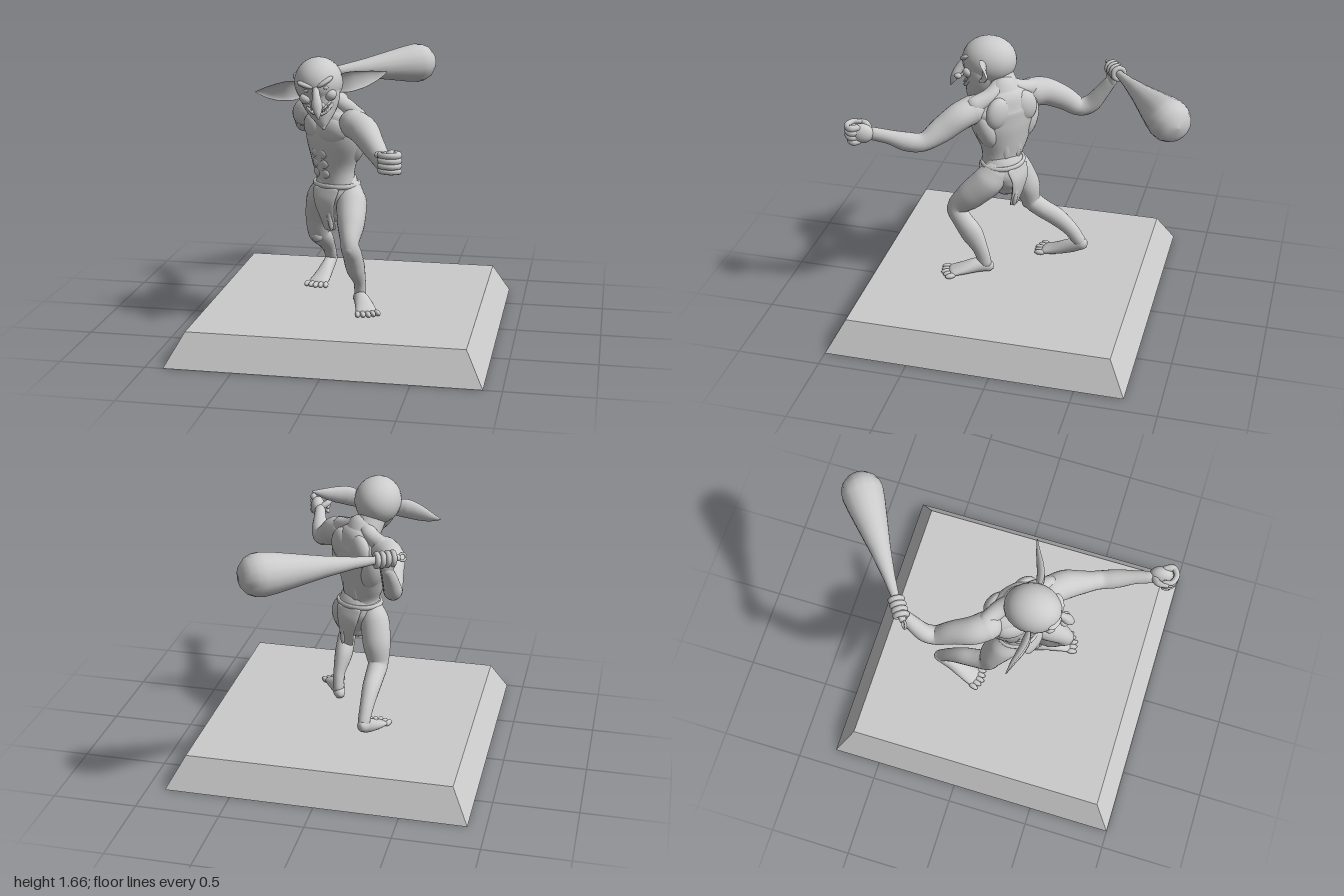
import * as THREE from 'three';

const material = new THREE.MeshStandardMaterial({ color: 0xcccccc, side: THREE.DoubleSide });
const vec = (a) => new THREE.Vector3(a[0], a[1], a[2]);

function add(parent, name, geometry) {
  const mesh = new THREE.Mesh(geometry, material);
  mesh.name = name;
  parent.add(mesh);
  return mesh;
}

// Smooth round-ended body through rings [x, y, z, halfWidth, halfDepth]; width runs along ref.
// cup folds the front half of each section inward, making a hollow shell.
function loft(rings, ref = [1, 0, 0], { sides = 20, steps = 5, cup = 0 } = {}) {
  const path = new THREE.CatmullRomCurve3(rings.map(vec));
  const size = new THREE.CatmullRomCurve3(rings.map((r) => new THREE.Vector3(r[3], r[4], 0)));
  const count = (rings.length - 1) * steps;
  const sections = [];
  for (let i = 0; i <= count; i++) {
    const t = i / count;
    const c = path.getPoint(t), r = size.getPoint(t), dir = path.getTangent(t);
    const s = vec(ref).addScaledVector(dir, -vec(ref).dot(dir)).normalize();
    const section = { c, dir, s, u: dir.clone().cross(s), a: r.x, b: r.y };
    const ends = i === 0 ? [-90, -60, -30, 0] : i === count ? [0, 30, 60, 90] : [0];
    for (const deg of ends) {
      const angle = THREE.MathUtils.degToRad(deg), k = Math.cos(angle);
      sections.push({
        ...section, a: r.x * k, b: r.y * k,
        c: c.clone().addScaledVector(dir, Math.sin(angle) * Math.min(r.x, r.y)),
      });
    }
  }
  const pos = [], index = [];
  sections.forEach(({ c, s, u, a, b }, i) => {
    for (let j = 0; j < sides; j++) {
      const angle = (j / sides) * Math.PI * 2;
      let h = Math.sin(angle);
      if (cup && h > 0) h *= -cup;
      pos.push(...c.clone().addScaledVector(s, a * Math.cos(angle)).addScaledVector(u, b * h).toArray());
      if (i === 0) continue;
      const k = (j + 1) % sides, p = (i - 1) * sides, q = i * sides;
      index.push(p + j, p + k, q + j, p + k, q + k, q + j);
    }
  });
  const g = new THREE.BufferGeometry();
  g.setAttribute('position', new THREE.Float32BufferAttribute(pos, 3));
  g.setIndex(index);
  g.computeVertexNormals();
  return g;
}

function ball(parent, name, p, r, rot = [0, 0, 0]) {
  const mesh = add(parent, name, new THREE.SphereGeometry(1, 24, 16));
  mesh.position.set(...p);
  mesh.scale.set(...r);
  mesh.rotation.set(...rot);
  return mesh;
}

function group(parent, name) {
  const g = new THREE.Group();
  g.name = name;
  parent.add(g);
  return g;
}

function buildBase(parent) {
  const g = new THREE.BoxGeometry(1.79, 0.187, 1.79);
  const p = g.attributes.position;
  for (let i = 0; i < p.count; i++) {
    if (p.getY(i) > 0) p.setXYZ(i, p.getX(i) * 0.885, p.getY(i), p.getZ(i) * 0.885);
  }
  g.computeVertexNormals();
  add(parent, 'base', g).position.set(0, 0.0935, 0.105);
}

// Torso, turned so that its left shoulder leads
function buildTorso(parent) {
  const torso = group(parent, 'torso');
  torso.position.set(-0.08, 0, 0.16);
  torso.rotation.y = -0.72;
  add(torso, 'trunk', loft([
    [0.01, 0.86, 0, 0.13, 0.1], [0.01, 0.94, 0, 0.128, 0.1], [0, 1.05, 0, 0.165, 0.115],
    [0, 1.18, 0, 0.215, 0.13], [0, 1.28, -0.01, 0.225, 0.125], [0, 1.34, -0.02, 0.16, 0.1],
    [0, 1.385, -0.015, 0.09, 0.07],
  ], [-1, 0, 0], { sides: 32 }));
  for (const s of [-1, 1]) {
    ball(torso, 'chestMuscle', [s * 0.09, 1.235, 0.075], [0.105, 0.08, 0.055], [0, s * 0.25, s * 0.2]);
    ball(torso, 'sideMuscle', [s * 0.145, 1.16, -0.035], [0.065, 0.13, 0.07], [0, 0, -s * 0.3]);
    ball(torso, 'shoulderBlade', [s * 0.095, 1.27, -0.085], [0.08, 0.1, 0.05], [0, 0, s * 0.3]);
    ball(torso, 'backMuscle', [s * 0.04, 1.05, -0.075], [0.035, 0.13, 0.035]);
    add(torso, 'neckMuscle', loft([[s * 0.02, 1.4, 0, 0.05, 0.05], [s * 0.1, 1.365, -0.02, 0.05, 0.045],
      [s * 0.21, 1.32, -0.01, 0.05, 0.06]], [0, 0, 1]));
    for (let i = 0; i < 3; i++) {
      ball(torso, 'bellyMuscle', [s * 0.036, 0.98 + i * 0.06, 0.085 + i * 0.009], [0.036, 0.034, 0.025]);
    }
  }
  add(parent, 'neck', loft([[-0.1, 1.34, 0.14, 0.085, 0.085], [-0.13, 1.42, 0.19, 0.08, 0.085],
    [-0.145, 1.48, 0.23, 0.08, 0.09]]));
}

function buildHead(parent) {
  const head = group(parent, 'head');
  head.position.set(-0.15, 1.52, 0.26);
  head.rotation.set(0, 0.065, 0.17);
  ball(head, 'skull', [0, 0, 0], [0.14, 0.142, 0.163]);
  add(head, 'jaw', loft([[0, -0.01, 0.03, 0.12, 0.125], [0, -0.08, 0.04, 0.117, 0.108], [0, -0.14, 0.06, 0.095, 0.085],
    [0, -0.19, 0.085, 0.062, 0.058], [0, -0.235, 0.105, 0.026, 0.028], [0, -0.25, 0.112, 0.012, 0.012]], [-1, 0, 0]));
  add(head, 'nose', loft([[0, -0.015, 0.145, 0.018, 0.02], [0, -0.06, 0.175, 0.024, 0.026], [0, -0.105, 0.2, 0.031, 0.026],
    [0, -0.145, 0.22, 0.02, 0.017], [0, -0.172, 0.23, 0.006, 0.006]]));
  // Curved grin
  const grin = [-0.07, -0.04, 0, 0.04, 0.07].map((x) => [x, -0.155 + 9 * x * x, 0.142 - 7 * x * x]);
  add(head, 'lowerLip', loft(grin.map(([x, y, z]) => [x, y - 0.012, z, 0.009, 0.01]), [0, 1, 0], { sides: 10 }));
  add(head, 'upperLip', loft(grin.map(([x, y, z]) => [x, y + 0.014, z, 0.008, 0.009]), [0, 1, 0], { sides: 10 }));
  for (let i = -3; i <= 3; i++) {
    const x = i * 0.016;
    const tooth = add(head, 'tooth', new THREE.ConeGeometry(0.007, 0.024, 8));
    tooth.position.set(x, -0.152 + 9 * x * x, 0.147 - 7 * x * x);
    tooth.rotation.x = i % 2 ? Math.PI : 0;
  }
  for (const s of [-1, 1]) {
    ball(head, 'brow', [s * 0.056, 0.012, 0.135], [0.055, 0.016, 0.028], [0, s * 0.4, s * 0.38]);
    ball(head, 'eye', [s * 0.052, -0.02, 0.134], [0.02, 0.013, 0.018]);
    ball(head, 'cheek', [s * 0.073, -0.07, 0.112], [0.036, 0.03, 0.033], [0, 0, s * 0.5]);
    ball(head, 'nostril', [s * 0.026, -0.11, 0.183], [0.018, 0.017, 0.023]);
    add(head, 'ear', loft([[s * 0.115, -0.03, 0.015, 0.05, 0.025], [s * 0.18, -0.025, 0.025, 0.058, 0.045],
      [s * 0.25, -0.025, 0.005, 0.05, 0.04], [s * 0.32, -0.022, -0.03, 0.032, 0.025],
      [s * 0.385, -0.015, -0.06, 0.005, 0.006]], [0, s, 0], { cup: 0.5, sides: 24 }));
  }
}

function buildArms(parent) {
  const left = group(parent, 'leftArm'), right = group(parent, 'rightArm');
  add(left, 'arm', loft([[0.06, 1.29, 0.3, 0.085, 0.085], [0.13, 1.265, 0.37, 0.085, 0.083], [0.2, 1.2, 0.46, 0.068, 0.075],
    [0.265, 1.145, 0.55, 0.055, 0.056], [0.295, 1.15, 0.63, 0.055, 0.058], [0.325, 1.185, 0.74, 0.04, 0.042],
    [0.345, 1.205, 0.83, 0.034, 0.04]]));
  add(right, 'arm', loft([[-0.24, 1.29, 0.03, 0.085, 0.09], [-0.29, 1.28, -0.04, 0.082, 0.085],
    [-0.32, 1.235, -0.15, 0.068, 0.073], [-0.345, 1.175, -0.25, 0.057, 0.056], [-0.357, 1.195, -0.31, 0.053, 0.055],
    [-0.355, 1.28, -0.375, 0.045, 0.045], [-0.345, 1.37, -0.435, 0.032, 0.035]]));
  // Clenched empty hand, fingers curling across the palm
  ball(left, 'palm', [0.375, 1.215, 0.885], [0.045, 0.06, 0.07], [0, 0.2, 0]);
  for (let i = 0; i < 4; i++) {
    const y = 1.172 + i * 0.029, f = i === 0 ? -0.012 : 0;
    add(left, 'finger', loft([[0.4, y, 0.9, 0.018, 0.018], [0.415, y, 0.945 + f, 0.018, 0.018], [0.375, y, 0.972 + f, 0.017, 0.017],
      [0.325, y, 0.955 + f, 0.016, 0.016], [0.315, y, 0.915, 0.013, 0.013]], [0, 1, 0], { sides: 10 }));
  }
  add(left, 'thumb', loft([[0.345, 1.22, 0.85, 0.022, 0.022], [0.305, 1.245, 0.88, 0.019, 0.019],
    [0.3, 1.255, 0.93, 0.014, 0.014]], [0, 1, 0], { sides: 10 }));
  // Gripping hand
  add(right, 'palm', loft([[-0.345, 1.37, -0.435, 0.035, 0.03], [-0.35, 1.41, -0.44, 0.05, 0.028],
    [-0.345, 1.455, -0.445, 0.052, 0.024]], [0.82, 0, -0.57]));
}

// Club with its grip, end ring and wrapped fingers, built along its own y axis
function buildClub(parent) {
  const club = group(parent, 'club');
  club.position.set(-0.38, 1.44, -0.43);
  club.quaternion.setFromUnitVectors(new THREE.Vector3(0, 1, 0), new THREE.Vector3(0.82, 0.03, -0.57).normalize());
  const profile = [[0, -0.035], [0.018, -0.035], [0.021, 0], [0.024, 0.13], [0.035, 0.24], [0.06, 0.41], [0.088, 0.56],
    [0.114, 0.7], [0.123, 0.77], [0.118, 0.81], [0.1, 0.85], [0.06, 0.885], [0, 0.895]];
  add(club, 'clubBody', new THREE.LatheGeometry(profile.map(([x, y]) => new THREE.Vector2(x, y)), 16));
  const ring = add(club, 'endRing', new THREE.TorusGeometry(0.021, 0.007, 8, 20));
  ring.position.y = -0.055;
  ring.rotation.y = 1.0;
  for (let i = 0; i < 4; i++) {
    const finger = add(club, 'finger', new THREE.TorusGeometry(0.034, 0.0155, 10, 20));
    finger.position.y = 0.005 + i * 0.032;
    finger.rotation.x = Math.PI / 2 + 0.12;
  }
}

function buildFoot(parent, rings, dir) {
  const forward = vec(dir).normalize();
  const side = new THREE.Vector3(0, 1, 0).cross(forward);
  add(parent, 'foot', loft(rings, side.toArray()));
  const tip = vec(rings[rings.length - 1]);
  for (let i = -2; i <= 2; i++) {
    const p = tip.clone().addScaledVector(side, i * 0.029).addScaledVector(forward, 0.035 - Math.abs(i) * 0.008);
    ball(parent, 'toe', [p.x, 0.204, p.z], [0.016, 0.017, 0.034], [0, Math.atan2(forward.x, forward.z) + i * 0.1, 0]);
  }
}

function buildLegs(parent) {
  const left = group(parent, 'leftLeg'), right = group(parent, 'rightLeg');
  add(left, 'leg', loft([[0.02, 0.87, 0.18, 0.07, 0.08], [0.035, 0.8, 0.23, 0.09, 0.095], [0.05, 0.7, 0.33, 0.08, 0.088],
    [0.06, 0.6, 0.42, 0.053, 0.062], [0.07, 0.53, 0.385, 0.055, 0.062], [0.075, 0.45, 0.33, 0.055, 0.07],
    [0.09, 0.34, 0.265, 0.036, 0.047], [0.09, 0.25, 0.24, 0.034, 0.042]]));
  add(right, 'leg', loft([[-0.145, 0.87, 0.13, 0.07, 0.08], [-0.17, 0.8, 0.1, 0.088, 0.09], [-0.195, 0.68, 0.045, 0.085, 0.08],
    [-0.21, 0.56, 0.015, 0.062, 0.06], [-0.205, 0.515, -0.05, 0.058, 0.058], [-0.2, 0.47, -0.14, 0.053, 0.058],
    [-0.195, 0.4, -0.23, 0.042, 0.047], [-0.19, 0.32, -0.295, 0.036, 0.04]]));
  ball(left, 'kneecap', [0.06, 0.585, 0.452], [0.034, 0.042, 0.03]);
  ball(right, 'kneecap', [-0.21, 0.545, 0.05], [0.036, 0.042, 0.03]);
  buildFoot(left, [[0.078, 0.225, 0.222, 0.036, 0.036], [0.1, 0.235, 0.28, 0.042, 0.046], [0.135, 0.222, 0.36, 0.055, 0.034],
    [0.16, 0.208, 0.43, 0.062, 0.02]], [0.4, 0, 0.9]);
  buildFoot(right, [[-0.19, 0.305, -0.31, 0.036, 0.04], [-0.2, 0.27, -0.235, 0.04, 0.044], [-0.22, 0.224, -0.13, 0.055, 0.032],
    [-0.232, 0.207, -0.07, 0.062, 0.02]], [-0.15, 0, 1]);
}

function buildLoincloth(parent) {
  const cloth = group(parent, 'loincloth');
  cloth.position.set(-0.065, 0, 0.16);
  cloth.rotation.y = -0.42;
  add(cloth, 'hipWrap', loft([[0, 0.89, 0, 0.137, 0.118], [0, 0.85, 0, 0.142, 0.122], [0, 0.78, 0, 0.11, 0.11],
    [0, 0.72, 0, 0.05, 0.08]], [1, 0, 0], { sides: 32 }));
  const belt = add(cloth, 'belt', new THREE.TorusGeometry(0.13, 0.011, 10, 48));
  belt.rotation.x = Math.PI / 2;
  belt.scale.set(1.05, 0.9, 1.4);
  belt.position.y = 0.905;
  for (const s of [-1, 1]) {
    add(cloth, s > 0 ? 'frontFlap' : 'backFlap', loft([[0, 0.89, s * 0.11, 0.09, 0.015], [0, 0.82, s * 0.128, 0.075, 0.014],
      [0.01, 0.74, s * 0.122, 0.055, 0.014], [0.02, 0.65, s * 0.1, 0.042, 0.012]]));
    ball(cloth, 'flapFold', [0.035, 0.73, s * 0.118], [0.018, 0.085, 0.02], [0, 0, 0.1]);
  }
}

export function createModel() {
  const model = new THREE.Group();
  model.name = 'clubThrower';
  for (const build of [buildBase, buildTorso, buildHead, buildArms, buildClub, buildLegs, buildLoincloth]) build(model);
  return model;
}
